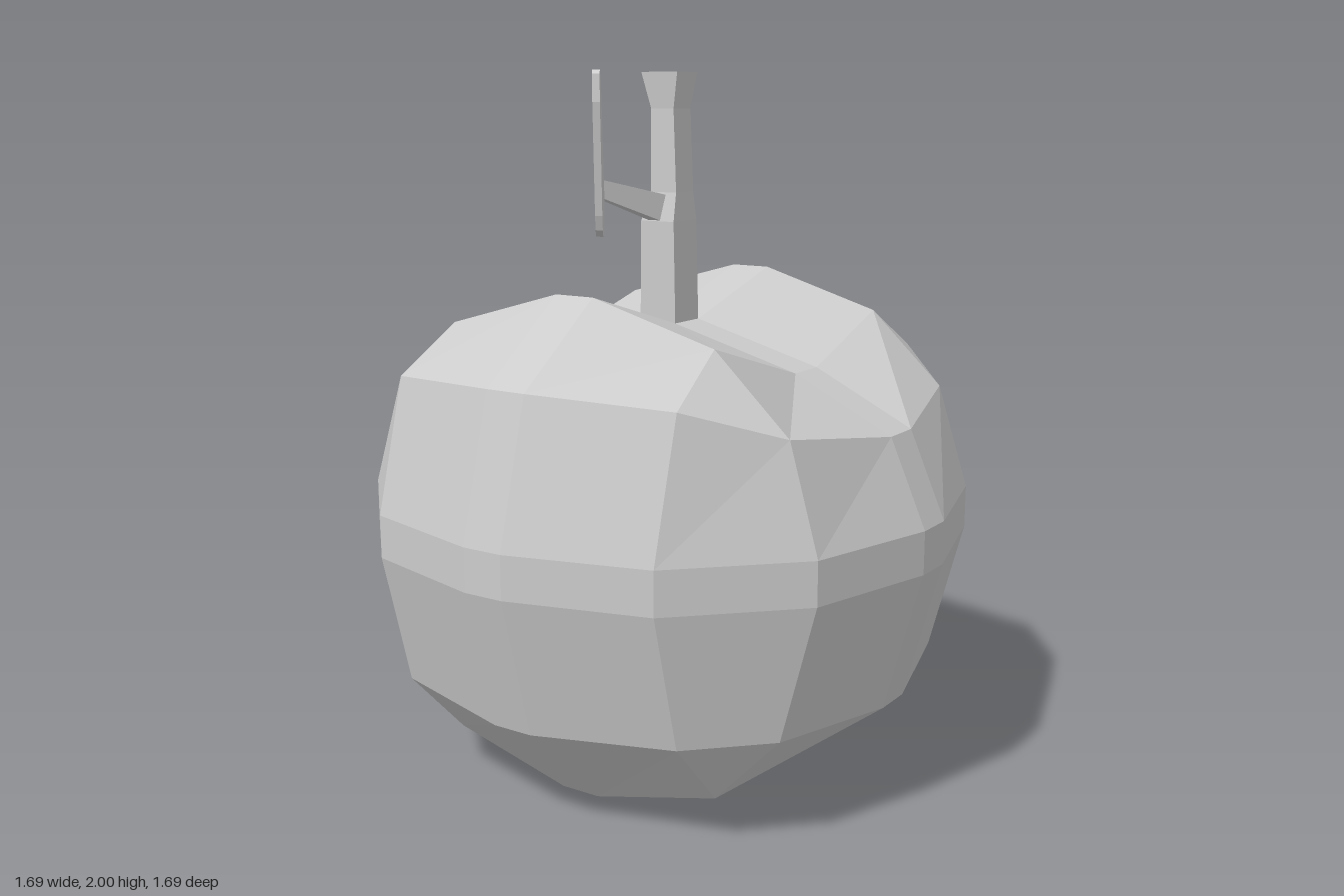
import * as THREE from 'three';

const material = new THREE.MeshStandardMaterial({ color: 0xcccccc, flatShading: true });

function part(name, geometry) {
  const mesh = new THREE.Mesh(geometry, material);
  mesh.name = name;
  return mesh;
}

// Skin a stack of closed rings (counter-clockwise seen from the last ring) and cap both ends
function loft(rings) {
  const out = [];
  const tri = (a, b, c) => {
    const [p, q, r] = [a, b, c].map((v) => new THREE.Vector3(...v));
    if (q.sub(p).cross(r.sub(p)).length() > 1e-9) out.push(...a, ...b, ...c);
  };
  const n = rings[0].length;
  const centre = (ring) => [0, 1, 2].map((k) => ring.reduce((s, p) => s + p[k], 0) / n);
  const first = rings[0], last = rings[rings.length - 1];
  const c0 = centre(first), c1 = centre(last);
  for (let i = 0; i < n; i++) {
    const j = (i + 1) % n;
    for (let r = 0; r + 1 < rings.length; r++) {
      const lo = rings[r], hi = rings[r + 1];
      tri(lo[i], lo[j], hi[j]);
      tri(lo[i], hi[j], hi[i]);
    }
    tri(c0, first[j], first[i]);
    tri(c1, last[i], last[j]);
  }
  const geometry = new THREE.BufferGeometry();
  geometry.setAttribute('position', new THREE.Float32BufferAttribute(out, 3));
  geometry.computeVertexNormals();
  return geometry;
}

// Mirror four points, running from the front to the left side, into a ring of sixteen
function mirrorRing(q) {
  const flip = (pts, sx, sz) => pts.map(([x, y, z]) => [x * sx, y, z * sz]);
  const back = [...q].reverse();
  return [...q, ...flip(back, 1, -1), ...flip(q, -1, -1), ...flip(back, -1, 1)];
}

function createBody() {
  const belt = (y) => [[0.06, y, 0.845], [0.45, y, 0.74], [0.74, y, 0.45], [0.845, y, 0.06]];
  const hub = (y) => Array(4).fill([0.06, y, 0.06]);
  const quadrants = [
    hub(0),
    [[0.06, 0.02, 0.45], [0.44, 0.11, 0.44], [0.44, 0.11, 0.44], [0.45, 0.11, 0.06]],
    [[0.06, 0.305, 0.74], [0.45, 0.32, 0.64], [0.64, 0.32, 0.45], [0.74, 0.305, 0.06]],
    belt(0.7),
    belt(0.82),
    [[0.06, 1.21, 0.74], [0.45, 1.19, 0.64], [0.65, 1.11, 0.44], [0.74, 1.06, 0.06]],
    // the top dips into a valley running from side to side
    [[0.06, 1.42, 0.45], [0.43, 1.315, 0.44], [0.43, 1.315, 0.44], [0.45, 1.2, 0.06]],
    hub(1.305),
  ];
  return part('body', loft(quadrants.map(mirrorRing)));
}

function createStem() {
  // height, x range, z range
  const sections = [
    [1.28, -0.06, 0.06, -0.06, 0.06],
    [1.59, -0.055, 0.055, -0.055, 0.062],
    [1.67, -0.035, 0.05, -0.046, 0.042],
    [1.9, -0.035, 0.04, -0.046, 0.04],
    [2.0, -0.06, 0.06, -0.05, 0.052],
  ];
  return part('stem', loft(sections.map(([y, x0, x1, z0, z1]) =>
    [[x0, y, z1], [x1, y, z1], [x1, y, z0], [x0, y, z0]])));
}

function createLeafStalk() {
  // depth, x range, y range
  const sections = [
    [0.03, -0.022, 0.022, 1.58, 1.66],
    [0.23, -0.085, -0.065, 1.66, 1.71],
  ];
  return part('leafStalk', loft(sections.map(([z, x0, x1, y0, y1]) =>
    [[x0, y0, z], [x1, y0, z], [x1, y1, z], [x0, y1, z]])));
}

function createLeaf() {
  // outline in depth and height
  const outline = [
    [0.28, 1.565], [0.32, 1.565], [0.35, 1.585], [0.37, 1.625], [0.455, 1.92], [0.457, 1.99],
    [0.44, 2.0], [0.39, 1.97], [0.36, 1.92], [0.24, 1.68], [0.235, 1.61], [0.25, 1.58],
  ];
  const shape = new THREE.Shape(outline.map(([z, y]) => new THREE.Vector2(z, y)));
  const geometry = new THREE.ExtrudeGeometry(shape, { depth: 0.024, bevelEnabled: false });
  // turn the plate slanting across the front
  const p = geometry.attributes.position;
  for (let i = 0; i < p.count; i++) {
    const z = p.getX(i);
    p.setXYZ(i, -0.065 + 0.68 * (z - 0.23) - p.getZ(i) + 0.005, p.getY(i), z);
  }
  geometry.computeVertexNormals();
  return part('leaf', geometry);
}

export function createModel() {
  const group = new THREE.Group();
  group.name = 'apple';
  group.add(createBody(), createStem(), createLeafStalk(), createLeaf());
  return group;
}
